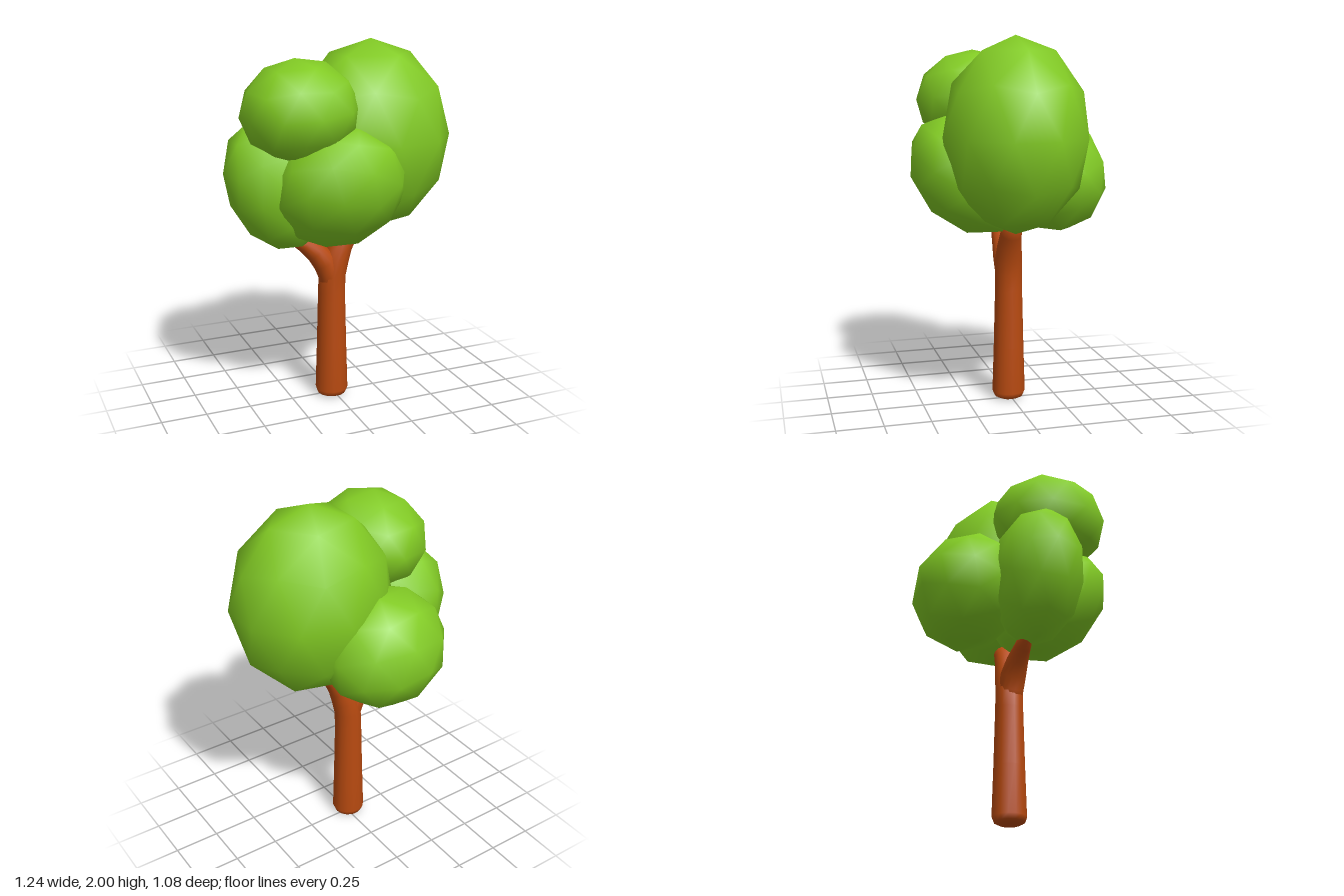
import * as THREE from 'three';

// Lofts a closed limb through [x, y, z, radius] rings; paths bend only in the xy plane.
function limb(rings, sides = 14) {
  const pos = [], idx = [];
  rings.forEach(([x, y, z, r], i) => {
    const a = rings[Math.max(i - 1, 0)], b = rings[Math.min(i + 1, rings.length - 1)];
    const t = new THREE.Vector2(b[0] - a[0], b[1] - a[1]).normalize();
    for (let s = 0; s < sides; s++) {
      const ang = (s / sides) * Math.PI * 2, u = Math.cos(ang) * r;
      pos.push(x + t.y * u, y - t.x * u, z + Math.sin(ang) * r);
    }
  });
  for (let i = 0; i < rings.length - 1; i++) {
    for (let s = 0; s < sides; s++) {
      const n = (s + 1) % sides, a = i * sides + s, b = i * sides + n;
      idx.push(a, a + sides, b, b, a + sides, b + sides);
    }
  }
  // End caps
  const last = (rings.length - 1) * sides;
  for (let s = 1; s < sides - 1; s++) {
    idx.push(0, s, s + 1, last, last + s + 1, last + s);
  }
  const g = new THREE.BufferGeometry();
  g.setAttribute('position', new THREE.Float32BufferAttribute(pos, 3));
  g.setIndex(idx);
  g.computeVertexNormals();
  return g;
}

export function createModel() {
  const tree = new THREE.Group();
  tree.name = 'tree';

  const leaf = new THREE.MeshStandardMaterial({ color: 0x82cb24 });
  leaf.name = 'leafGreen';
  const bark = new THREE.MeshStandardMaterial({ color: 0xb84a10 });
  bark.name = 'barkBrown';

  const add = (name, geometry, material) => {
    const mesh = new THREE.Mesh(geometry, material);
    mesh.name = name;
    tree.add(mesh);
    return mesh;
  };

  // Trunk, rounded at the foot and bending into the left branch
  add('trunk', limb([
    [-0.015, 0, 0.01, 0.055], [-0.015, 0.012, 0.01, 0.08], [-0.015, 0.04, 0.01, 0.091],
    [-0.015, 0.3, 0.01, 0.083], [-0.015, 0.62, 0.01, 0.075], [-0.012, 0.72, 0.012, 0.075],
    [0.005, 0.8, 0.015, 0.074], [0.035, 0.88, 0.018, 0.066], [0.075, 0.95, 0.02, 0.058],
    [0.1, 0.99, 0.02, 0.052], [0.113, 1.01, 0.02, 0.025],
  ]), bark);

  // Side branch
  add('rightBranch', limb([
    [-0.015, 0.62, 0.012, 0.06], [-0.025, 0.72, 0.014, 0.068], [-0.06, 0.8, 0.016, 0.068],
    [-0.115, 0.865, 0.018, 0.058], [-0.18, 0.915, 0.02, 0.045],
    [-0.23, 0.95, 0.02, 0.038], [-0.245, 0.96, 0.02, 0.018],
  ]), bark);

  // Foliage: smooth-shaded icospheres with a vertex at each pole
  const ball = new THREE.IcosahedronGeometry(1, 1);
  ball.rotateZ(-Math.atan2(2, 1 + Math.sqrt(5)));

  const clumps = [
    // name, centre, radii, tilt about x and z
    ['mainFoliage', [0.2, 1.485, 0.03], [0.44, 0.515, 0.385], 0, 0],
    ['frontFoliage', [-0.06, 1.26, 0.22], [0.36, 0.375, 0.285], 0.75, 0],
    ['backFoliage', [-0.055, 1.25, -0.245], [0.355, 0.325, 0.3], 0.35, 0],
    ['rightFoliage', [-0.335, 1.26, 0.04], [0.27, 0.375, 0.25], 0, 0.42],
    ['upperFoliage', [-0.245, 1.66, 0.15], [0.31, 0.27, 0.32], 0, 0.1],
  ];
  for (const [name, centre, radii, tiltX, tiltZ] of clumps) {
    const clump = add(name, ball, leaf);
    clump.position.set(...centre);
    clump.scale.set(...radii);
    clump.rotation.set(tiltX, 0, tiltZ);
  }

  return tree;
}
